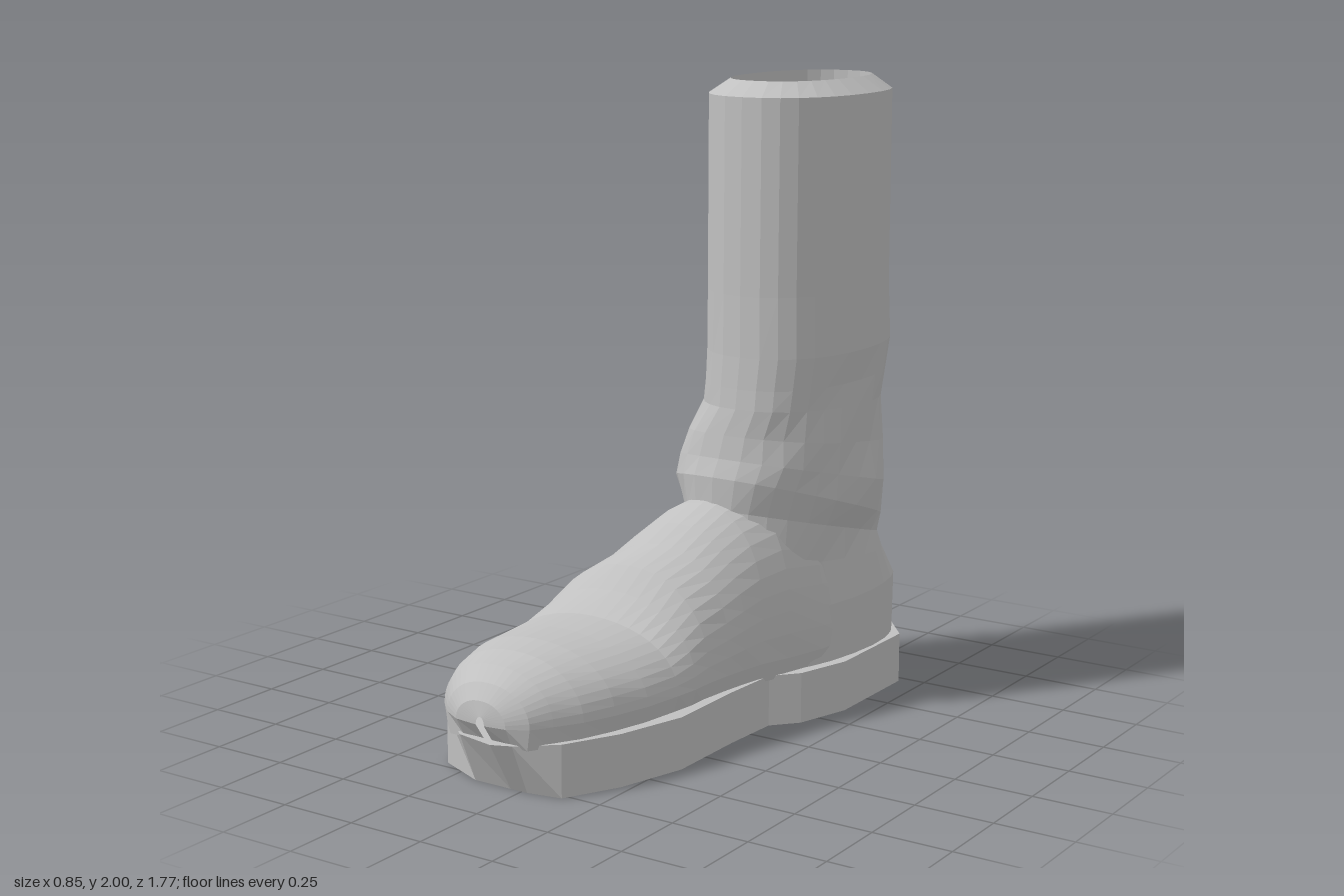
import * as THREE from 'three';

const leather = new THREE.MeshStandardMaterial({ color: 0xc0c0c0, side: THREE.DoubleSide });
leather.name = 'grey leather';

// Joins cross-sections with equal point counts into one faceted skin
function loft(rings, closed) {
  const n = rings[0].length, pos = rings.flat(2), idx = [];
  for (let i = 0; i < rings.length - 1; i++) {
    for (let j = 0; j < (closed ? n : n - 1); j++) {
      const a = i * n + j, b = i * n + (j + 1) % n;
      idx.push(a, a + n, b, b, a + n, b + n);
    }
  }
  const g = new THREE.BufferGeometry();
  g.setAttribute('position', new THREE.Float32BufferAttribute(pos, 3));
  g.setIndex(idx);
  const flat = g.toNonIndexed();
  flat.computeVertexNormals();
  return flat;
}

const bend = (v, e) => Math.sign(v) * Math.pow(Math.abs(v), 2 / e);

// Horizontal oval; shear slants it along the foot, tilt lifts its front, fold adds creases
function oval([y, x0, x1, z0, z1, shear = 0, tilt = 0, fold = 0], sides = 28) {
  const ring = [], xc = (x0 + x1) / 2, zc = (z0 + z1) / 2;
  for (let j = 0; j < sides; j++) {
    const t = (j / sides) * Math.PI * 2;
    const k = 1 + fold * Math.sin(5 * t + y * 21);
    const dz = bend(Math.sin(t), 2.3) * (z1 - z0) / 2;
    const dx = bend(Math.cos(t), 2.3) * (x1 - x0) / 2 * k;
    ring.push([xc + dx + shear * dz, y + tilt * dz, zc + dz]);
  }
  return ring;
}

// Upright arch over the foot; lean moves the crown sideways
function arch([z, x0, x1, top, lean = 0], sides = 22) {
  const ring = [], base = 0.215, xc = (x0 + x1) / 2;
  for (let j = 0; j <= sides; j++) {
    const t = (j / sides) * Math.PI;
    const s = Math.sin(t);
    const crease = 1 + 0.015 * Math.sin(z * 31 + t * 4) * s;
    ring.push([
      xc + bend(Math.cos(t), 2.1) * (x1 - x0) / 2 * crease + lean * s,
      base + Math.pow(s, 0.95) * (top - base), z]);
  }
  // edges tuck under toward the sole
  const tuck = (x) => [xc + (x - xc) * 0.94, 0.15, Math.min(z, 0.84)];
  return [tuck(x1), ...ring, tuck(x0)];
}

function createModel() {
  const boot = new THREE.Group();
  boot.name = 'boot';
  const add = (name, geometry) => {
    const mesh = new THREE.Mesh(geometry, leather);
    mesh.name = name;
    boot.add(mesh);
  };

  // Sole: outline from the heel along the outer side, round the toe and back
  const outline = [
    [0.12, -0.885], [0.3, -0.865], [0.42, -0.72], [0.42, -0.36], [0.365, -0.18],
    [0.295, -0.1], [0.285, 0.1], [0.285, 0.38], [0.22, 0.6], [0.13, 0.77],
    [0.02, 0.86], [-0.04, 0.885], [-0.17, 0.86], [-0.33, 0.72], [-0.41, 0.52],
    [-0.425, 0.37], [-0.4, 0.2], [-0.32, 0], [-0.21, -0.24], [-0.18, -0.37],
    [-0.14, -0.53], [-0.04, -0.78]];
  const sole = new THREE.ExtrudeGeometry(
    new THREE.Shape(outline.map(([x, z]) => new THREE.Vector2(x, -z))),
    { depth: 0.163, bevelEnabled: false });
  sole.rotateX(-Math.PI / 2);
  const p = sole.attributes.position;
  for (let i = 0; i < p.count; i++) {
    if (p.getY(i) < 0.01) p.setZ(i, Math.min(p.getZ(i), 0.79)); // toe slants under
  }
  sole.computeVertexNormals();
  add('sole', sole);

  // Foot: z, inner x, outer x, top height, lean
  add('foot', loft([
    [0.885, -0.09, -0.06, 0.24],
    [0.875, -0.17, 0.01, 0.285],
    [0.84, -0.23, 0.07, 0.33],
    [0.78, -0.29, 0.11, 0.365],
    [0.7, -0.33, 0.16, 0.388],
    [0.6, -0.365, 0.2, 0.4],
    [0.48, -0.385, 0.235, 0.403],
    [0.35, -0.385, 0.255, 0.412],
    [0.27, -0.37, 0.265, 0.475, 0.01],
    [0.2, -0.355, 0.265, 0.54, 0.02],
    [0.1, -0.32, 0.275, 0.592, 0.04],
    [0.03, -0.295, 0.285, 0.645, 0.05],
    [-0.05, -0.265, 0.3, 0.7, 0.06],
    [-0.15, -0.225, 0.335, 0.73, 0.06],
    [-0.3, -0.175, 0.375, 0.7, 0.04],
    [-0.45, -0.14, 0.39, 0.62, 0.02],
    [-0.6, -0.08, 0.37, 0.45],
  ].map((s) => arch(s)), false));

  // Heel, ankle folds and shaft: y, x range, z range, shear, tilt, fold
  add('shaft', loft([
    [0.15, -0.1, 0.4, -0.86, -0.05, -0.12],
    [0.35, -0.09, 0.395, -0.87, -0.03, -0.12, 0, 0.02],
    [0.48, -0.09, 0.375, -0.83, -0.03, -0.1, 0.1, 0.02],
    [0.58, -0.1, 0.37, -0.81, -0.06, -0.08, 0.27, 0.02],
    [0.66, -0.145, 0.405, -0.805, -0.06, -0.06, 0.33, 0.02],
    [0.75, -0.145, 0.415, -0.8, -0.08, -0.05, 0.25, 0.03],
    [0.86, -0.125, 0.405, -0.8, -0.09, -0.03, 0.15, 0.03],
    [0.98, -0.07, 0.4, -0.805, -0.1, 0, 0.05, 0.015],
    [1.06, -0.07, 0.405, -0.82, -0.105, 0, 0, 0.01],
    [1.16, -0.07, 0.418, -0.828, -0.11],
    [1.35, -0.07, 0.412, -0.82, -0.115],
    [1.955, -0.07, 0.412, -0.82, -0.118],
  ].map((r) => oval(r)), true));

  // Bevelled rim, then lining down to the insole
  add('rim', loft([
    oval([1.955, -0.07, 0.412, -0.82, -0.118]),
    oval([2, -0.005, 0.35, -0.755, -0.185])], true));
  add('lining', loft([
    oval([2, -0.005, 0.35, -0.755, -0.185]),
    oval([0.3, -0.005, 0.35, -0.755, -0.185]),
    oval([0.3, 0.172, 0.173, -0.471, -0.469])], true));

  return boot;
}

export { createModel };
